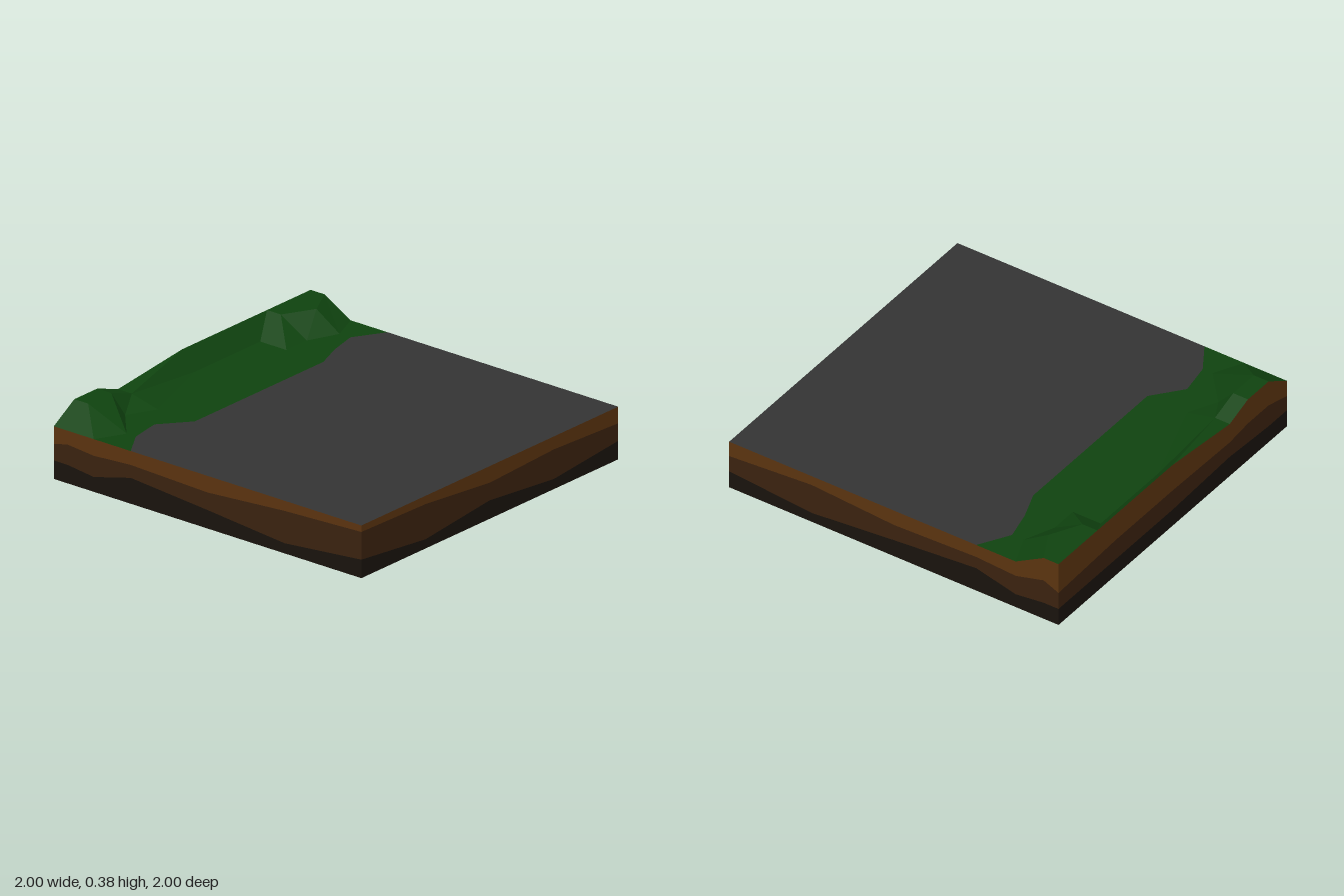
import * as THREE from 'three';

const G = 0.285, H = 0.38, D = 0.325; // ground, bank top, dip in the bank

const paint = (color) => new THREE.MeshStandardMaterial({ color, flatShading: true });

// Surface through rows of [x, y, z]; each row runs left to right, rows go from far (or top) to near (or bottom)
function sheet(name, rows, material) {
  const pos = [];
  for (let r = 0; r + 1 < rows.length; r++) {
    for (let i = 0; i + 1 < rows[r].length; i++) {
      const a = rows[r][i], b = rows[r][i + 1], c = rows[r + 1][i], d = rows[r + 1][i + 1];
      pos.push(...a, ...c, ...b, ...b, ...c, ...d);
    }
  }
  const geo = new THREE.BufferGeometry();
  geo.setAttribute('position', new THREE.Float32BufferAttribute(pos, 3));
  geo.computeVertexNormals();
  const mesh = new THREE.Mesh(geo, material);
  mesh.name = name;
  return mesh;
}

export function createModel() {
  const model = new THREE.Group();
  model.name = 'terrainTile';
  const grass = paint(0x0f430f), road = paint(0x343434), base = paint(0x191919);
  const soils = [['topSoil', paint(0x5a330f)], ['midSoil', paint(0x3a220f)], ['deepSoil', paint(0x19130d)]];

  // Grassy bank along the back: depth and height of each row at the column positions
  const xs = [-1, -0.84, -0.66, -0.5, 0, 0.5, 0.66, 0.83, 1];
  const depths = [
    [-1, -1, -1, -1, -1, -1, -1, -1, -1],
    [-0.91, -0.91, -0.91, -0.91, -0.91, -0.91, -0.91, -0.82, -0.91],
    [-0.74, -0.66, -0.82, -0.74, -0.74, -0.74, -0.74, -0.67, -0.74],
    [-0.5, -0.6, -0.63, -0.5, -0.5, -0.5, -0.56, -0.6, -0.5],
  ];
  const heights = [
    [G, H, H, D, H, H, H, H, H],
    [G, H, H, D, G, G, H, H, H],
    [G, G, G, G, G, G, G, G, G],
    [G, G, G, G, G, G, G, G, G],
  ];
  const bank = depths.map((row, r) => row.map((z, i) => [xs[i], heights[r][i], z]));
  model.add(sheet('grassBank', bank, grass));

  // Flat paved ground in front of the bank
  model.add(sheet('pavedGround', [bank[3], xs.map((x) => [x, G, 1])], road));

  // Underside
  model.add(sheet('underside', [[[-1, 0, 1], [1, 0, 1]], [[-1, 0, -1], [1, 0, -1]]], base));

  // Cut sides: [distance along the wall, deep soil top, mid soil top, surface], left to right from outside
  const walls = {
    front: {
      place: (a, y) => [a, y, 1],
      cols: [[-1, 0.1, 0.25, G], [-0.5, 0.05, 0.24, G], [0, 0.1, 0.195, G], [0.5, 0.055, 0.215, G], [1, 0.1, 0.195, G]],
    },
    right: {
      place: (a, y) => [1, y, -a],
      cols: [[-1, 0.1, 0.195, G], [-0.5, 0.055, 0.23, G], [0, 0.1, 0.195, G], [0.5, 0.14, 0.21, G],
        [0.74, 0.08, 0.195, G], [0.91, 0.1, 0.24, H], [1, 0.1, 0.2, H]],
    },
    back: {
      place: (a, y) => [-a, y, -1],
      cols: [[-1, 0.1, 0.2, H], [-0.5, 0.1, 0.22, H], [0, 0.1, 0.22, H], [0.5, 0.12, 0.21, D],
        [0.66, 0.11, 0.23, H], [0.84, 0.1, 0.23, H], [1, 0.1, 0.19, G]],
    },
    left: {
      place: (a, y) => [-1, y, a],
      cols: [[-1, 0.1, 0.19, G], [-0.91, 0.1, 0.21, G], [-0.74, 0.08, 0.195, G], [-0.5, 0.14, 0.21, G],
        [0, 0.1, 0.195, G], [0.5, 0.055, 0.23, G], [1, 0.1, 0.25, G]],
    },
  };
  for (const [side, { place, cols }] of Object.entries(walls)) {
    const wall = new THREE.Group();
    wall.name = side + 'Wall';
    const line = (k) => cols.map((c) => place(c[0], k ? c[k] : 0));
    soils.forEach(([name, material], i) => wall.add(sheet(name, [line(3 - i), line(2 - i)], material)));
    model.add(wall);
  }
  return model;
}
